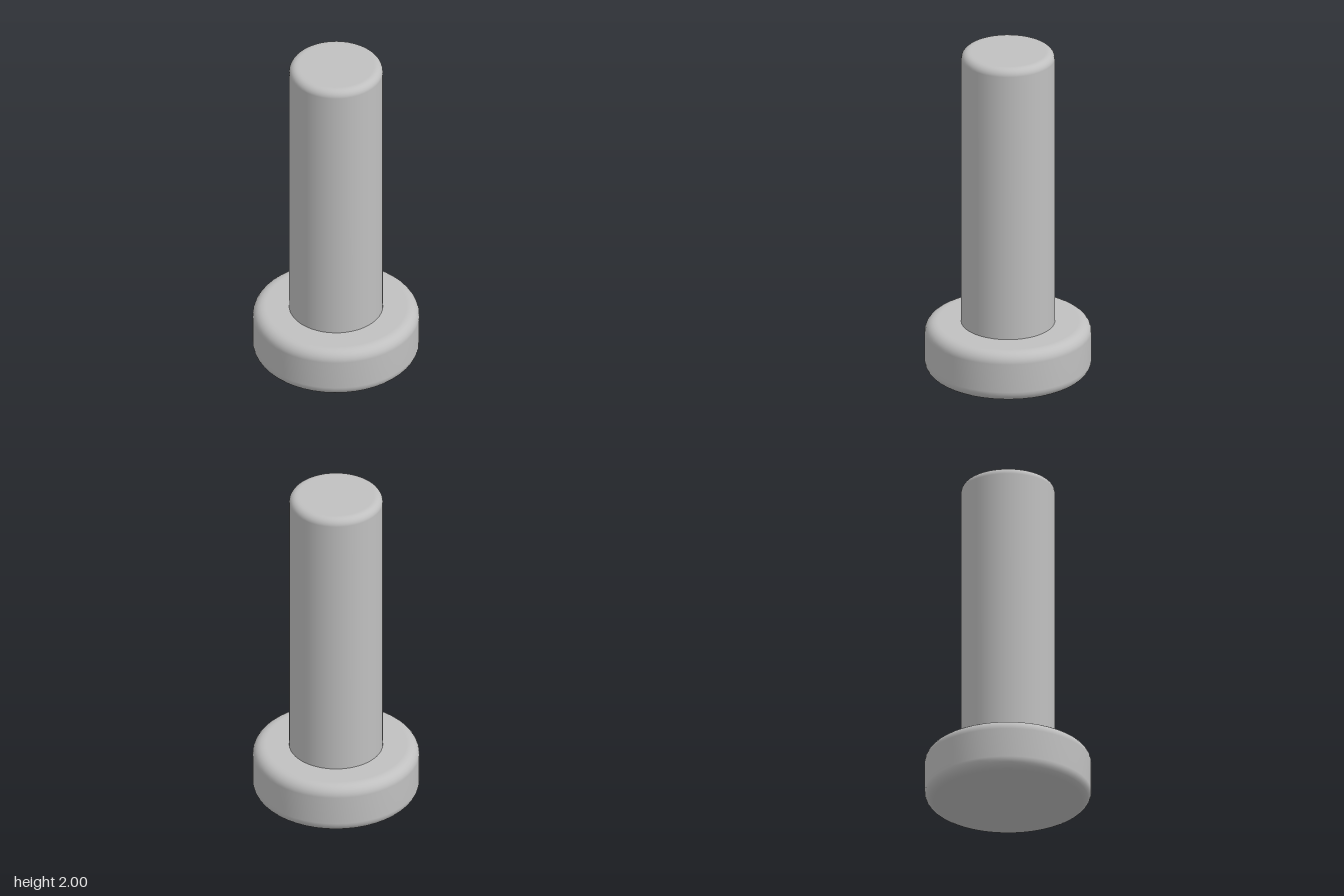
import * as THREE from 'three';

// Solid of revolution with rounded rims; bevelBottom may be 0 for a hidden end
function roundedDisc(radius, y0, y1, bevelBottom, bevelTop, segments) {
  const steps = 6;
  const points = [new THREE.Vector2(0, y0)];
  const rim = (bevel, y, start) => {
    for (let i = 0; i <= steps; i++) {
      const a = start + (i / steps) * Math.PI / 2;
      points.push(new THREE.Vector2(radius - bevel + bevel * Math.cos(a), y + bevel * Math.sin(a)));
    }
  };
  if (bevelBottom > 0) {
    // extra ring keeps the flat end evenly shaded
    points.push(new THREE.Vector2(radius - bevelBottom - 0.01, y0));
    rim(bevelBottom, y0 + bevelBottom, -Math.PI / 2);
  } else {
    points.length = 0;
    points.push(new THREE.Vector2(radius, y0));
  }
  rim(bevelTop, y1 - bevelTop, 0);
  points.push(new THREE.Vector2(radius - bevelTop - 0.01, y1), new THREE.Vector2(0, y1));
  return new THREE.LatheGeometry(points, segments);
}

export function createModel() {
  const model = new THREE.Group();
  model.name = 'bolt';

  const metal = new THREE.MeshStandardMaterial({ color: 0xc0c0c0 });
  metal.name = 'grey metal';

  // Wide round head with softened rims
  const head = new THREE.Mesh(roundedDisc(0.48, 0, 0.305, 0.065, 0.065, 48), metal);
  head.name = 'head';

  // Plain shank rising from the head
  const shank = new THREE.Mesh(roundedDisc(0.27, 0.29, 2, 0, 0.045, 48), metal);
  shank.name = 'shank';

  model.add(head, shank);
  return model;
}
